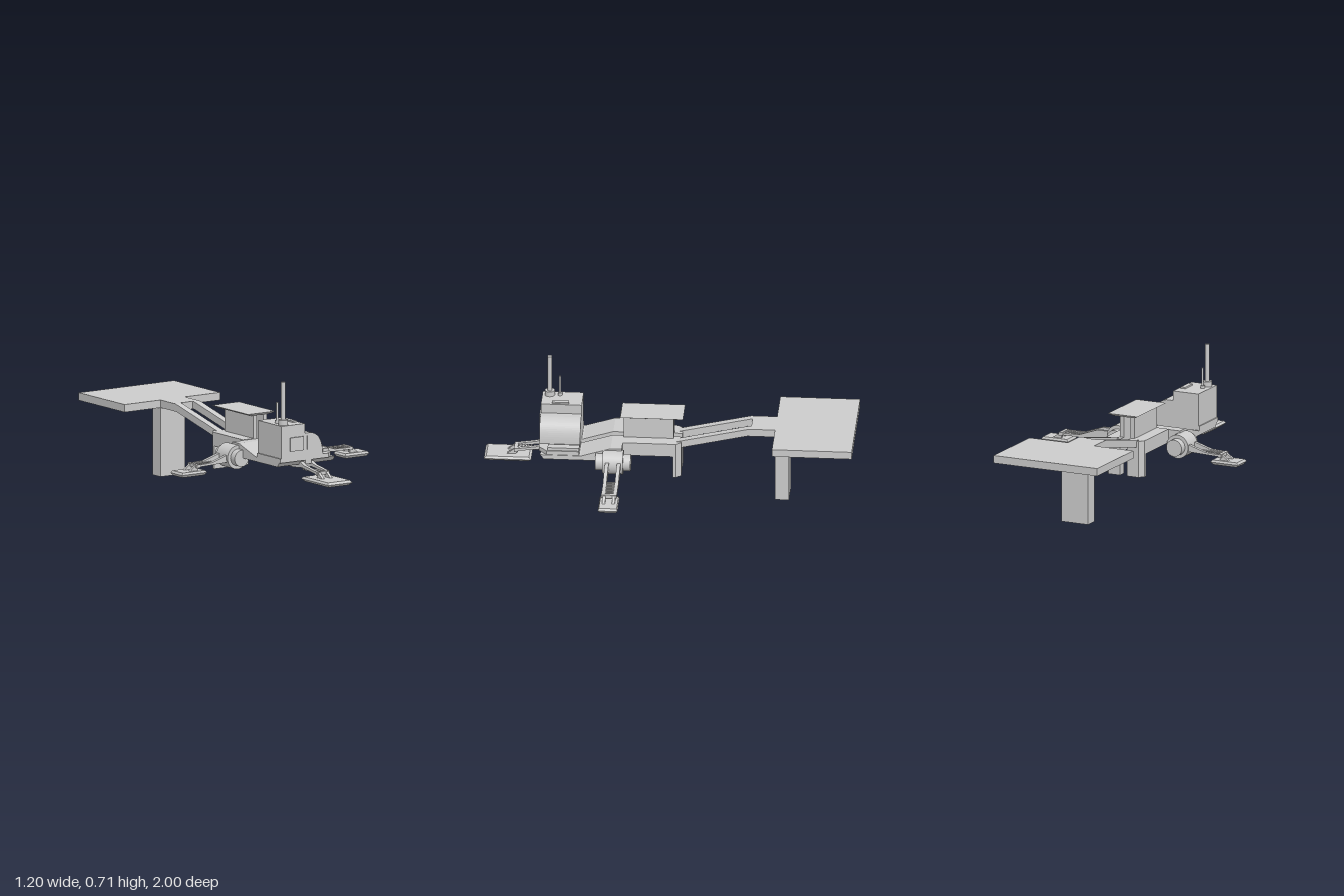
import * as THREE from 'three';

const mat = new THREE.MeshStandardMaterial({ color: 0xcccccc, flatShading: true });
const smooth = new THREE.MeshStandardMaterial({ color: 0xcccccc });
const MID = -0.05; // centre line of the frame

function add(parent, name, geo, material = mat) {
  const m = new THREE.Mesh(geo, material);
  m.name = name;
  parent.add(m);
  return m;
}

function box(parent, name, x0, x1, y0, y1, z0, z1) {
  const g = new THREE.BoxGeometry(x1 - x0, y1 - y0, z1 - z0);
  g.translate((x0 + x1) / 2, (y0 + y1) / 2, (z0 + z1) / 2);
  return add(parent, name, g);
}

const shapeOf = (pts) => new THREE.Shape(pts.map(([a, b]) => new THREE.Vector2(a, b)));
const extrude = (shape, depth) =>
  new THREE.ExtrudeGeometry(shape, { depth, bevelEnabled: false, curveSegments: 16 });

// Side profile in (z, y), extruded from x0 to x1
function side(parent, name, pts, x0, x1) {
  const g = extrude(shapeOf(pts), x1 - x0);
  g.rotateY(-Math.PI / 2).translate(x1, 0, 0);
  return add(parent, name, g);
}

// Plan outline in (x, z), extruded from y0 to y1
function plan(parent, name, pts, y0, y1) {
  const g = extrude(shapeOf(pts), y1 - y0);
  g.rotateX(Math.PI / 2).translate(0, y1, 0);
  return add(parent, name, g);
}

// Box whose top and bottom differ in size
function frustum(parent, name, bottom, top, y0, y1, x, z) {
  const g = new THREE.BoxGeometry(1, y1 - y0, 1);
  const p = g.attributes.position;
  for (let i = 0; i < p.count; i++) {
    const [w, d] = p.getY(i) > 0 ? top : bottom;
    p.setX(i, p.getX(i) * w);
    p.setZ(i, p.getZ(i) * d);
  }
  g.translate(x, (y0 + y1) / 2, z);
  g.computeVertexNormals();
  return add(parent, name, g);
}

function rod(parent, name, r, h, x, y, z, seg = 16) {
  const m = add(parent, name, new THREE.CylinderGeometry(r, r, h, seg), smooth);
  m.position.set(x, y + h / 2, z);
  return m;
}

// Twin-bar limb running along +z, with rungs, ankle and foot
function limb(name, profile, hw, rungs, foot) {
  const g = new THREE.Group();
  g.name = name;
  for (const s of [-1, 1]) {
    const a = s * hw, b = s * (hw - 0.02);
    side(g, 'limbBar', profile, Math.min(a, b), Math.max(a, b));
  }
  const n = 9;
  for (let i = 0; i < n; i++) {
    const z = rungs[0] + (rungs[1] - rungs[0]) * i / (n - 1);
    box(g, 'rung', 0.02 - hw, hw - 0.02, 0.222, 0.232, z - 0.004, z + 0.004);
  }
  const [z0, z1, fw] = foot, zc = (z0 + z1) / 2, d = z1 - z0;
  const end = rungs[1];
  box(g, 'ankleBar', -hw, hw, 0.217, 0.236, end, end + 0.02);
  for (const s of [-1, 1])
    side(g, 'ankleLug', [[end, 0.235], [end + 0.015, 0.235], [end + 0.06, 0.2], [end + 0.01, 0.2]],
      s * 0.026 - 0.008, s * 0.026 + 0.008);
  frustum(g, 'footSole', [fw * 0.8, d * 0.86], [fw, d], 0.175, 0.19, 0, zc);
  frustum(g, 'footTop', [fw, d], [fw * 0.9, d * 0.9], 0.19, 0.202, 0, zc);
  return g;
}

export function createModel() {
  const root = new THREE.Group();

  // Rear deck, its leg and the neck
  box(root, 'rearDeck', -0.365, 0.26, 0.378, 0.42, -1, -0.57);
  box(root, 'deckLeg', -0.13, 0.03, 0, 0.378, -0.645, -0.57);
  box(root, 'neck', -0.13, 0.03, 0.378, 0.42, -0.57, -0.44);

  // Paired parts on either side of the centre gap
  for (const s of [-1, 1]) {
    const span = (a, b) => s > 0 ? [MID + a, MID + b] : [MID - b, MID - a];
    side(root, 'slopingBeam',
      [[-0.45, 0.378], [-0.42, 0.378], [-0.03, 0.288], [-0.03, 0.328], [-0.43, 0.42], [-0.45, 0.42]],
      ...span(0.04, 0.08));
    plan(root, 'rearPost', [[0.02, -0.065], [0.09, -0.065], [0.113, -0.035], [0.113, -0.02], [0.02, -0.02]]
      .map(([x, z]) => [MID + s * x, z]), 0.13, 0.33);
    box(root, 'innerRail', ...span(0.02, 0.113), 0.255, 0.33, -0.02, 0.25);
    box(root, 'towerWall', ...span(0.02, 0.043), 0.255, 0.455, -0.02, 0.25);
    side(root, 'frontRail',
      [[0.25, 0.252], [0.25, 0.327], [0.31, 0.327], [0.47, 0.277], [0.69, 0.277], [0.67, 0.252]],
      ...span(0.02, 0.182));
  }
  frustum(root, 'towerTop', [0.13, 0.31], [0.178, 0.34], 0.455, 0.468, MID, 0.095);

  // Cab on a chamfered ledge
  plan(root, 'cabLedge',
    [[-0.232, 0.48], [0.128, 0.48], [0.128, 0.655], [0.082, 0.7], [-0.232, 0.7]], 0.277, 0.3);
  box(root, 'ledgeStep', 0.08, 0.122, 0.3, 0.316, 0.48, 0.65);
  box(root, 'cabBox', -0.225, -0.073, 0.3, 0.478, 0.48, 0.7);
  const hood = new THREE.Shape();
  hood.moveTo(-0.073, 0.3);
  hood.lineTo(0.045, 0.3);
  hood.quadraticCurveTo(0.042, 0.415, -0.035, 0.425);
  hood.lineTo(-0.073, 0.425);
  const hoodGeo = extrude(hood, 0.22);
  hoodGeo.translate(0, 0, 0.48);
  add(root, 'cabHood', hoodGeo);
  box(root, 'cabWindow', -0.172, -0.083, 0.335, 0.41, 0.7, 0.708);
  box(root, 'cabSlot', -0.06, -0.045, 0.335, 0.41, 0.7, 0.704);
  box(root, 'roofHatch', -0.11, -0.083, 0.478, 0.486, 0.55, 0.64);

  // Stacks on the cab roof
  rod(root, 'stackBase', 0.027, 0.028, -0.187, 0.478, 0.66);
  rod(root, 'stack', 0.013, 0.205, -0.187, 0.506, 0.66);
  rod(root, 'smallStackBase', 0.012, 0.016, -0.187, 0.478, 0.605);
  rod(root, 'smallStack', 0.006, 0.1, -0.187, 0.492, 0.605);

  // Side drums, each with a wide middle and narrower ends
  for (const [x, z] of [[-0.24, 0.255], [0.14, 0.295]]) {
    for (const [name, r, len] of [['drum', 0.065, 0.11], ['drumHub', 0.046, 0.19]]) {
      const m = rod(root, name, r, len, x, 0, z, 32);
      m.rotation.x = Math.PI / 2;
      m.position.y = 0.252;
    }
  }

  // Left and right limbs
  const left = limb('leftLimb',
    [[0.16, 0.235], [0.38, 0.222], [0.49, 0.222], [0.49, 0.233], [0.38, 0.235], [0.27, 0.274], [0.16, 0.276]],
    0.042, [0.34, 0.48], [0.44, 0.6, 0.106]);
  left.rotation.y = Math.PI / 2;
  left.position.z = 0.292;
  const right = limb('rightLimb',
    [[0.26, 0.23], [0.33, 0.228], [0.49, 0.222], [0.49, 0.233], [0.4, 0.238], [0.31, 0.266], [0.26, 0.272]],
    0.045, [0.36, 0.48], [0.44, 0.604, 0.106]);
  right.rotation.y = -Math.PI / 2;
  right.position.z = 0.253;

  // Front limb and the block it hangs from
  const front = limb('frontLimb',
    [[0.54, 0.23], [0.62, 0.23], [0.7, 0.238], [0.83, 0.222], [0.83, 0.235], [0.72, 0.252], [0.67, 0.272], [0.54, 0.272]],
    0.042, [0.68, 0.82], [0.745, 1, 0.16]);
  front.position.x = MID;
  box(root, 'limbMount', MID - 0.02, MID + 0.02, 0.255, 0.295, 0.54, 0.7);
  root.add(left, right, front);
  return root;
}
